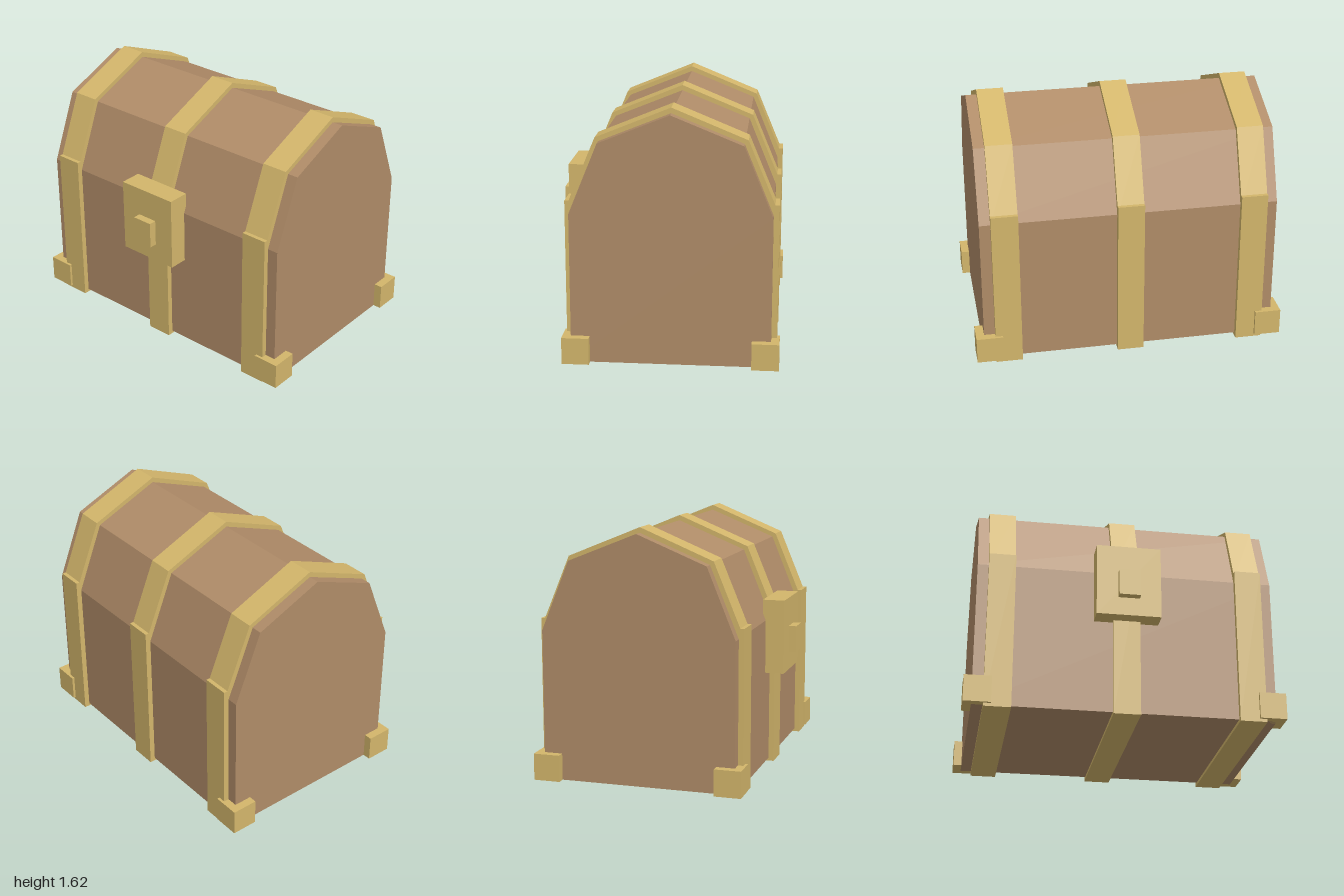
import * as THREE from 'three';

const MID = -0.06; // depth centre of the chest body

const wood = new THREE.MeshStandardMaterial({ color: 0xb08c68 });
wood.name = 'wood';
const brass = new THREE.MeshStandardMaterial({ color: 0xd3b66b });
brass.name = 'brass';

// Extrude a symmetric outline of [half depth, height] points along x
function slab(name, half, width, x, material) {
  const mirrored = half.filter(([d]) => d > 0).reverse().map(([d, y]) => [-d, y]);
  const points = [...half, ...mirrored].map(([d, y]) => new THREE.Vector2(d + MID, y));
  const geometry = new THREE.ExtrudeGeometry(new THREE.Shape(points), { depth: width, bevelEnabled: false });
  geometry.translate(0, 0, -width / 2);
  geometry.rotateY(-Math.PI / 2);
  const mesh = new THREE.Mesh(geometry, material);
  mesh.name = name;
  mesh.position.x = x;
  return mesh;
}

// Box given by its minimum and maximum corners
function block(name, min, max, material) {
  const size = max.map((v, i) => v - min[i]);
  const mesh = new THREE.Mesh(new THREE.BoxGeometry(...size), material);
  mesh.name = name;
  mesh.position.set(...max.map((v, i) => (v + min[i]) / 2));
  return mesh;
}

export function createModel() {
  const chest = new THREE.Group();
  chest.name = 'chest';

  // Wooden box and faceted lid
  chest.add(slab('base', [[0.62, 0.02], [0.62, 0.97]], 1.894, 0, wood));
  chest.add(slab('lid', [[0.62, 0.97], [0.44, 1.41], [0, 1.588]], 1.894, 0, wood));

  // Three metal bands wrapping base and lid
  for (const [side, x] of [['right', -0.792], ['middle', 0], ['left', 0.792]]) {
    const band = new THREE.Group();
    band.name = side + 'Band';
    band.add(slab('baseBand', [[0.655, 0], [0.655, 1.035]], 0.17, x, brass));
    band.add(slab('lidBand', [[0.65, 0.985], [0.463, 1.432], [0, 1.622]], 0.17, x, brass));
    chest.add(band);
  }

  // Corner guards
  for (const sx of [-1, 1]) {
    for (const sz of [-1, 1]) {
      const guard = block('cornerGuard', [-0.085, 0.02, -0.085], [0.085, 0.19, 0.085], brass);
      guard.position.x = sx * 0.915;
      guard.position.z = MID + sz * 0.587;
      chest.add(guard);
    }
  }

  // Lock plate and latch
  chest.add(block('lockPlate', [-0.205, 0.625, 0.54], [0.205, 1.105, 0.682], brass));
  chest.add(block('latch', [-0.068, 0.745, 0.66], [0.068, 0.917, 0.732], brass));

  return chest;
}
